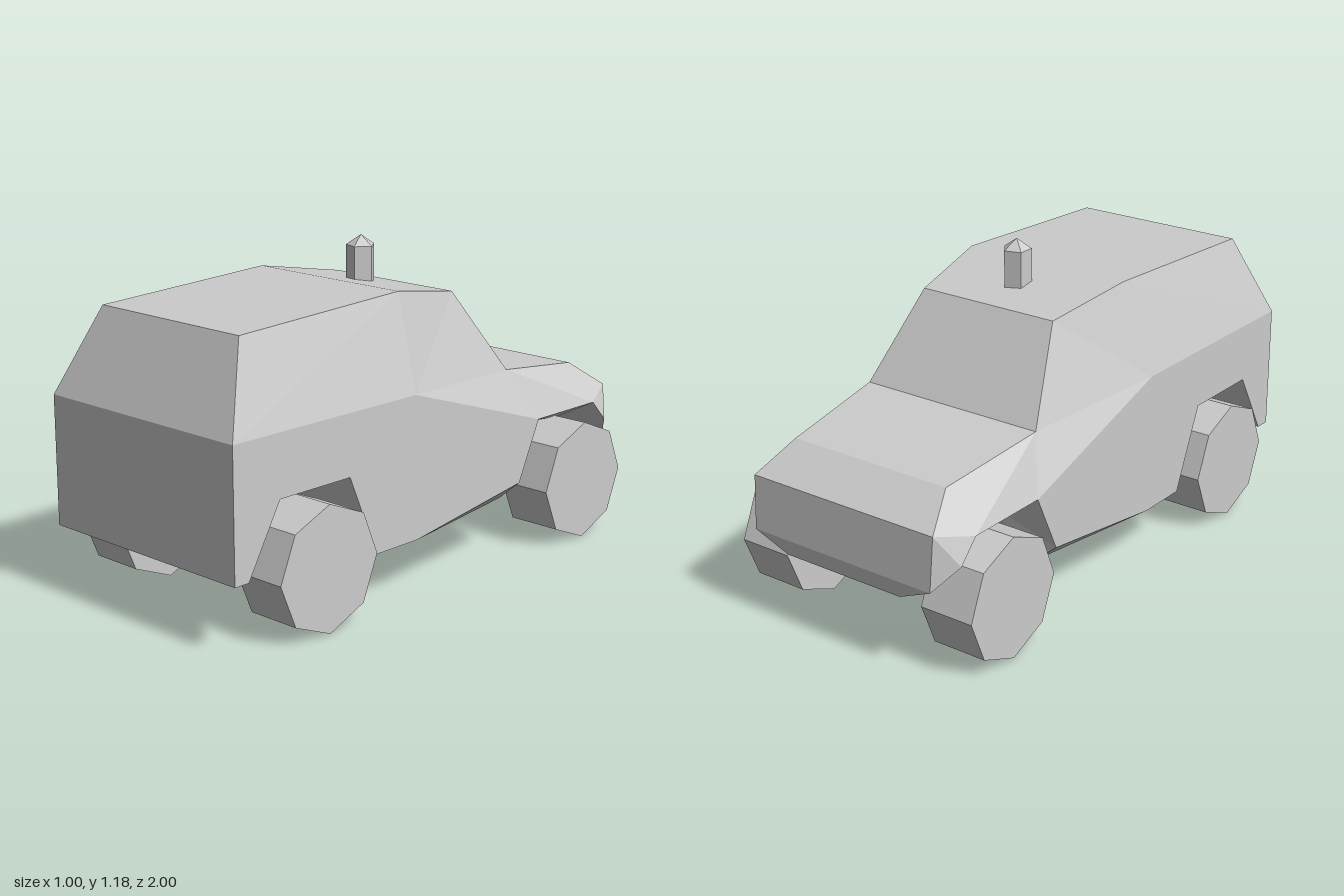
import * as THREE from 'three';

// Corner points of the +x half of the body: [half width, y, z]
const P = {
  roofRear: [0.335, 1.015, 0.865], roofFront: [0.335, 1.047, 0.13],
  screenTop: [0.28, 0.99, -0.21], screenBase: [0.365, 0.68, -0.42],
  hoodFront: [0.325, 0.625, -0.845], noseTop: [0.385, 0.525, -0.987],
  noseTip: [0.38, 0.33, -1], noseBottom: [0.245, 0.27, -0.99], cheek: [0.445, 0.41, -0.92],
  beltRear: [0.445, 0.71, 1], beltMid: [0.445, 0.71, 0.16],
  bumper: [0.445, 0.245, 1], bumperIn: [0.445, 0.245, 0.94],
  rearArchB: [0.445, 0.49, 0.8], rearArchF: [0.445, 0.49, 0.48],
  sillRear: [0.445, 0.19, 0.35], sillMid: [0.445, 0.19, 0.15], sillFront: [0.445, 0.27, -0.41],
  frontArchB: [0.445, 0.49, -0.515], frontArchF: [0.445, 0.49, -0.845],
  floorFront: [0.35, 0.19, -0.415], wellB: [0.25, 0.42, -0.52], wellF: [0.25, 0.39, -0.85],
};

// Closed lengthwise loop; each step spans the full width of the body
const LOOP = [
  'roofRear', 'beltRear', 'bumper', 'bumperIn', 'rearArchB', 'rearArchF', 'sillRear', 'sillMid', 'floorFront',
  'wellB', 'wellF', 'noseBottom', 'noseTip', 'noseTop', 'hoodFront', 'screenBase', 'screenTop', 'roofFront',
];

// Side panels, mirrored to the other side
const SIDE = [
  'beltRear beltMid roofFront roofRear', 'beltRear rearArchF beltMid', 'beltRear rearArchB rearArchF',
  'beltRear bumperIn rearArchB', 'beltRear bumper bumperIn',
  'beltMid rearArchF sillRear', 'beltMid sillRear sillMid', 'beltMid sillMid sillFront',
  'beltMid sillFront frontArchB', 'beltMid frontArchB screenBase',
  'beltMid screenBase screenTop', 'beltMid screenTop roofFront',
  'screenBase frontArchB frontArchF hoodFront', 'hoodFront frontArchF noseTop',
  'noseTop frontArchF cheek', 'noseTop cheek noseTip',
  'sillMid floorFront sillFront', 'sillFront floorFront wellB frontArchB',
  'frontArchB wellB wellF frontArchF', 'frontArchF wellF noseBottom cheek', 'cheek noseBottom noseTip',
].map((s) => s.split(' '));

function bodyGeometry() {
  const pos = [];
  const at = (name, side) => [P[name][0] * side, P[name][1], P[name][2]];
  const face = (pts) => {
    for (let i = 1; i < pts.length - 1; i++) pos.push(...pts[0], ...pts[i], ...pts[i + 1]);
  };
  LOOP.forEach((a, i) => {
    const b = LOOP[(i + 1) % LOOP.length];
    face([at(a, 1), at(a, -1), at(b, -1), at(b, 1)]);
  });
  for (const names of SIDE) {
    face(names.map((n) => at(n, 1)));
    // Keep the same diagonal on the mirrored panel
    face([names[0], ...names.slice(1).reverse()].map((n) => at(n, -1)));
  }
  const geo = new THREE.BufferGeometry();
  geo.setAttribute('position', new THREE.Float32BufferAttribute(pos, 3));
  geo.computeVertexNormals();
  return geo;
}

export function createModel() {
  const model = new THREE.Group();
  model.name = 'car';
  const grey = new THREE.MeshStandardMaterial({ color: 0xcccccc, flatShading: true });
  const add = (name, geo, x, y, z) => {
    const mesh = new THREE.Mesh(geo, grey);
    mesh.name = name;
    mesh.position.set(x, y, z);
    model.add(mesh);
  };

  add('body', bodyGeometry(), -0.005, 0, 0);

  // Eight-sided wheels
  const wheel = new THREE.CylinderGeometry(0.223, 0.223, 0.206, 8).rotateZ(Math.PI / 2);
  for (const [end, z] of [['rear', 0.637], ['front', -0.715]]) {
    add(end + 'LeftWheel', wheel, 0.398, 0.226, z);
    add(end + 'RightWheel', wheel, -0.398, 0.226, z);
  }

  // Five-sided roof beacon with a pointed cap
  const start = Math.PI / 2;
  add('beacon', new THREE.CylinderGeometry(0.053, 0.053, 0.165, 5, 1, false, start), 0, 1.0625, -0.033);
  add('beaconCap', new THREE.ConeGeometry(0.053, 0.037, 5, 1, true, start), 0, 1.1635, -0.033);

  return model;
}
